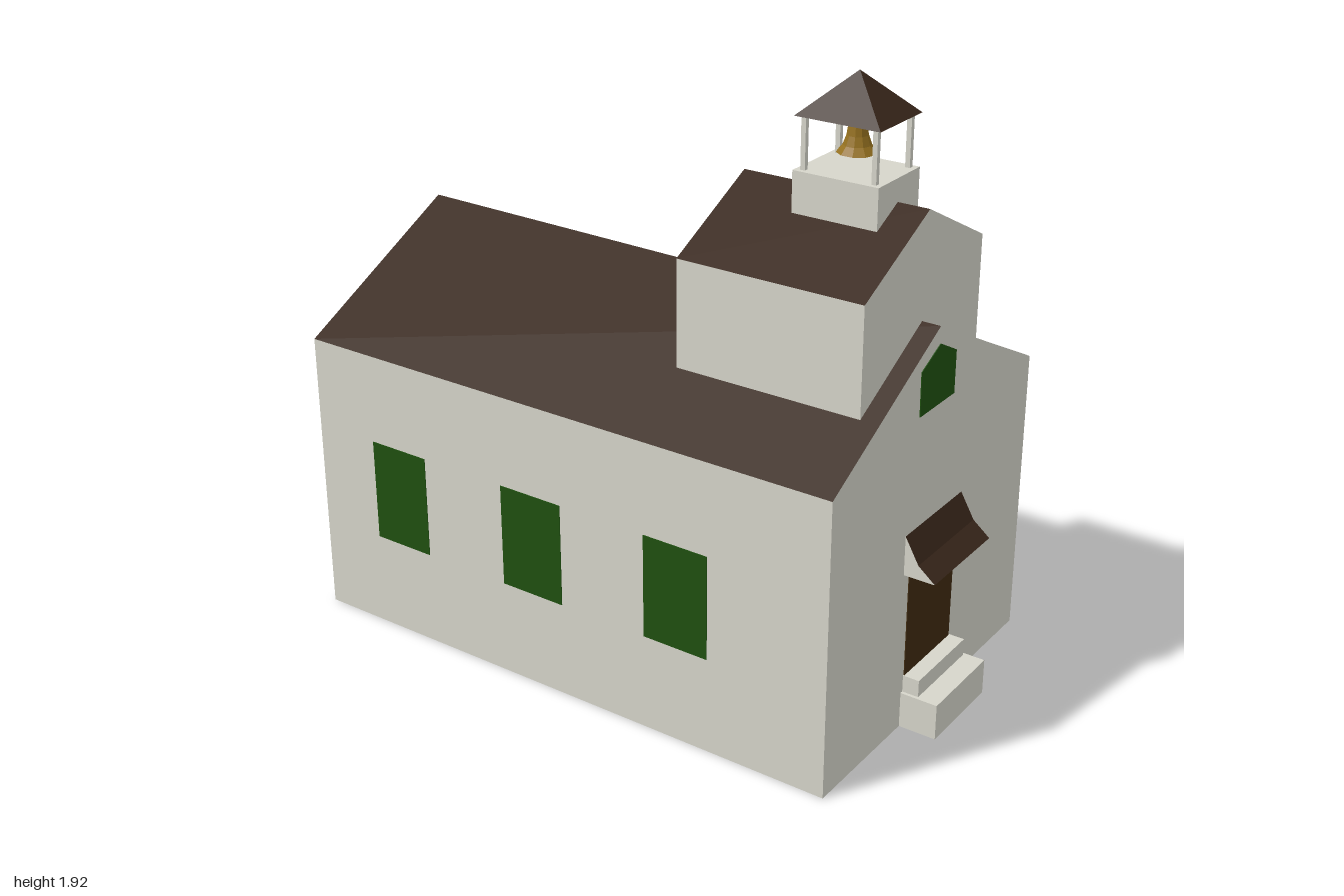
import * as THREE from 'three';

const mat = (color) => new THREE.MeshStandardMaterial({ color, flatShading: true });

export function createModel() {
  const model = new THREE.Group();
  const wall = mat(0xd6d5ca), roof = mat(0x38261a), green = mat(0x1f5010);
  const wood = mat(0x3f2a10), brass = mat(0x94701f);

  const add = (name, geometry, material, x = 0, y = 0, z = 0) => {
    const mesh = new THREE.Mesh(geometry, material);
    mesh.name = name;
    mesh.position.set(x, y, z);
    model.add(mesh);
    return mesh;
  };

  // Box given by its limits on each axis
  const box = (name, material, [x0, x1], [y0, y1], [z0, z1]) =>
    add(name, new THREE.BoxGeometry(x1 - x0, y1 - y0, z1 - z0), material,
      (x0 + x1) / 2, (y0 + y1) / 2, (z0 + z1) / 2);

  // Solid between two matching outlines; the listed edges carry the roof colour
  const loft = (name, a, b, roofEdges) => {
    const wallPts = [], roofPts = [];
    const fan = (out, poly) => {
      for (let i = 1; i < poly.length - 1; i++) out.push(...poly[0], ...poly[i], ...poly[i + 1]);
    };
    fan(wallPts, a);
    // Far end starts at the same corner so concave outlines fan cleanly
    fan(wallPts, [b[0], ...b.slice(1).reverse()]);
    a.forEach((p, i) => {
      const j = (i + 1) % a.length;
      fan(roofEdges.includes(i) ? roofPts : wallPts, [p, b[i], b[j], a[j]]);
    });
    [[`${name}Walls`, wallPts, wall], [`${name}Roof`, roofPts, roof]].forEach(([n, pts, m]) => {
      const g = new THREE.BufferGeometry();
      g.setAttribute('position', new THREE.Float32BufferAttribute(pts, 3));
      g.computeVertexNormals();
      add(n, g, m);
    });
  };

  const gable = (x0, x1, floor, eave, ridge, ridgeX, z) => [
    [x0, floor, z], [x1, floor, z], [x1, eave, z], [ridgeX, ridge, z], [x0, eave, z],
  ];

  // Main hall, with its slightly skewed ridge, and the tower astride it
  loft('hall', gable(-0.58, 0.58, 0, 0.935, 1.24, -0.02, 0.88),
    gable(-0.58, 0.58, 0, 0.935, 1.24, 0.02, -1), [2, 3]);
  loft('tower', gable(-0.345, 0.325, 1.05, 1.395, 1.565, -0.005, 0.82),
    gable(-0.345, 0.325, 1.05, 1.395, 1.565, -0.005, 0.215), [2, 3]);

  // Canopy above the door
  const canopy = (x) => [[x, 0.565, 0.925], [x, 0.52, 0.98], [x, 0.52, 0.88], [x, 0.645, 0.88]];
  loft('canopy', canopy(0.17), canopy(-0.165), [0, 3]);

  // Door and steps
  box('door', wood, [-0.135, 0.138], [0.17, 0.52], [0.87, 0.883]);
  box('upperStep', wall, [-0.138, 0.143], [0, 0.17], [0.87, 0.933]);
  box('lowerStep', wall, [-0.148, 0.153], [0, 0.115], [0.87, 1]);

  // Side windows
  const windows = {
    1: [[0.255, 0.475], [-0.28, -0.057], [-0.787, -0.583]],
    [-1]: [[0.265, 0.485], [-0.26, -0.037], [-0.774, -0.562]],
  };
  for (const side of [1, -1]) {
    for (const span of windows[side]) {
      box('sideWindow', green, [side * 0.5775 - 0.005, side * 0.5775 + 0.005], [0.31, 0.643], span);
    }
  }

  // Gable window
  const pane = new THREE.Shape([[-0.12, 1], [0.08, 1], [0.08, 1.135], [-0.018, 1.187], [-0.122, 1.137]]
    .map(([x, y]) => new THREE.Vector2(x, y)));
  add('gableWindow', new THREE.ExtrudeGeometry(pane, { depth: 0.01, bevelEnabled: false }), green, 0, 0, 0.8725);

  // Belfry: base, four posts and pyramid roof
  const bz = 0.582;
  box('belfryBase', wall, [-0.115, 0.113], [1.51, 1.635], [bz - 0.137, bz + 0.137]);
  for (const x of [-0.093, 0.093]) {
    for (const z of [-0.113, 0.113]) {
      add('belfryPost', new THREE.BoxGeometry(0.015, 0.16, 0.015), wall, x, 1.713, bz + z);
    }
  }
  const pyramid = new THREE.ConeGeometry(Math.SQRT2, 0.125, 4).rotateY(Math.PI / 4).scale(0.115, 1, 0.136);
  add('belfryRoof', pyramid, [roof, wall, wall], 0, 1.853, bz);

  // Bell
  const bell = [[0, 0.107], [0.014, 0.105], [0.025, 0.09], [0.031, 0.05], [0.041, 0.022], [0.059, 0], [0, 0.008]]
    .reverse().map(([r, y]) => new THREE.Vector2(r, y));
  add('bell', new THREE.LatheGeometry(bell, 10), brass, 0, 1.683, bz);

  return model;
}
